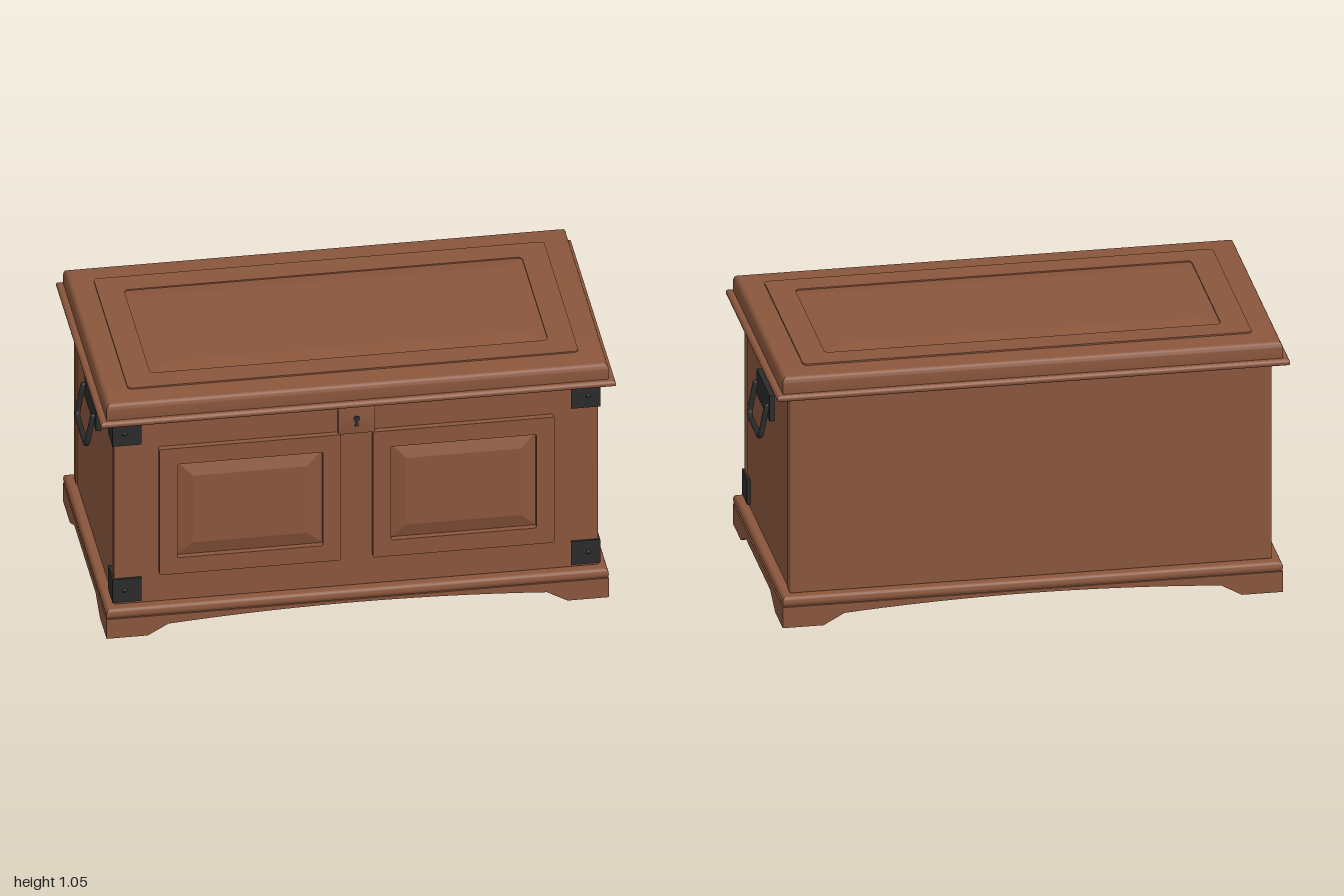
import * as THREE from 'three';
import { toCreasedNormals } from 'three/addons/utils/BufferGeometryUtils.js';
import { RoundedBoxGeometry } from 'three/addons/geometries/RoundedBoxGeometry.js';

const wood = new THREE.MeshStandardMaterial({ color: 0x8a563c });
wood.name = 'wood';
const iron = new THREE.MeshStandardMaterial({ color: 0x2b2b2b });
iron.name = 'blackIron';

function add(parent, name, geometry, material, x = 0, y = 0, z = 0) {
  const mesh = new THREE.Mesh(geometry, material);
  mesh.name = name;
  mesh.position.set(x, y, z);
  parent.add(mesh);
  return mesh;
}

// Rectangle outline with small rounded corners (r = 0 keeps them square)
function rect(w, h, r = 0, Type = THREE.Shape) {
  const s = new Type(), a = w / 2, b = h / 2;
  if (!r) {
    s.moveTo(-a, -b).lineTo(a, -b).lineTo(a, b).lineTo(-a, b).lineTo(-a, -b);
    return s;
  }
  s.moveTo(-a + r, -b);
  s.absarc(a - r, -b + r, r, -Math.PI / 2, 0);
  s.absarc(a - r, b - r, r, 0, Math.PI / 2);
  s.absarc(-a + r, b - r, r, Math.PI / 2, Math.PI);
  s.absarc(-a + r, -b + r, r, Math.PI, Math.PI * 1.5);
  return s;
}

// Slab facing +z with its front at z = 0; its edges are bevelled or rounded inwards
function slab(w, h, thick, inset, rise, segments) {
  const g = new THREE.ExtrudeGeometry(rect(w, h), {
    depth: thick - 2 * rise, bevelEnabled: true, bevelSize: inset,
    bevelOffset: -inset, bevelThickness: rise, bevelSegments: segments,
  });
  g.translate(0, 0, -(thick - rise));
  return toCreasedNormals(g, segments > 1 ? 0.6 : 0.05);
}

// Flat picture-frame ring with its front at z = 0
function frame(w, h, holeW, holeH, thick, r) {
  const s = rect(w, h, r);
  s.holes.push(rect(holeW, holeH, r, THREE.Path));
  const g = new THREE.ExtrudeGeometry(s, { depth: thick, bevelEnabled: false, curveSegments: 4 });
  return g.translate(0, 0, -thick);
}

const lay = (g) => g.rotateX(-Math.PI / 2);

// Skirt board with two feet; the underside between them may arch
function skirt(half, foot, slope, low, high) {
  const s = new THREE.Shape();
  s.moveTo(-half, 0).lineTo(-foot, 0).lineTo(-slope, low);
  s.quadraticCurveTo(0, 2 * high - low, slope, low);
  s.lineTo(foot, 0).lineTo(half, 0).lineTo(half, 0.085).lineTo(-half, 0.085);
  return new THREE.ExtrudeGeometry(s, { depth: 0.03, bevelEnabled: false, curveSegments: 20 });
}

function buildBase(chest) {
  const base = new THREE.Group();
  base.name = 'base';
  chest.add(base);
  add(base, 'baseMoulding', lay(slab(1.95, 1.04, 0.046, 0.018, 0.02, 5)), wood, 0, 0.126, 0);
  for (const turn of [0, Math.PI]) {
    const side = new THREE.Group();
    side.name = 'skirtPair';
    side.rotation.y = turn;
    base.add(side);
    add(side, 'longSkirt', skirt(0.975, 0.815, 0.735, 0.045, 0.072), wood, 0, 0, 0.49);
    const end = skirt(0.49, 0.36, 0.255, 0.05, 0.05).rotateY(Math.PI / 2);
    add(side, 'endSkirt', end, wood, 0.945, 0, 0);
  }
}

function buildBody(chest) {
  const body = new THREE.Group();
  body.name = 'body';
  chest.add(body);
  for (const s of [1, -1]) {
    add(body, s > 0 ? 'frontBoard' : 'backBoard',
      new RoundedBoxGeometry(1.88, 0.826, 0.05, 2, 0.006), wood, 0, 0.537, s * 0.455);
    add(body, 'endBoard', new THREE.BoxGeometry(0.05, 0.826, 0.866), wood, s * 0.91, 0.537, 0);
    // Raised panel in its frame
    add(body, 'frontFrame', frame(0.705, 0.56, 0.565, 0.417, 0.03, 0.008), wood, s * 0.4145, 0.535, 0.505);
    add(body, 'frontPanel', slab(0.565, 0.417, 0.06, 0.06, 0.02, 1), wood, s * 0.4145, 0.537, 0.503);
  }
}

function buildLid(chest) {
  const lid = new THREE.Group();
  lid.name = 'lid';
  chest.add(lid);
  add(lid, 'lidLip', lay(slab(2, 1.08, 0.026, 0.012, 0.012, 4)), wood, 0, 0.973, 0);
  add(lid, 'lidTop', lay(slab(1.95, 1.04, 0.09, 0.022, 0.025, 6)), wood, 0, 1.041, 0);
  add(lid, 'lidFrame', lay(frame(1.75, 0.83, 1.545, 0.63, 0.012, 0.02)), wood, 0, 1.047, 0);
  add(lid, 'lidPanel', lay(slab(1.545, 0.63, 0.03, 0.07, 0.01, 1)), wood, 0, 1.052, 0);
}

function buildLock(chest) {
  const lock = new THREE.Group();
  lock.name = 'lock';
  chest.add(lock);
  add(lock, 'lockPlate', slab(0.144, 0.118, 0.03, 0.004, 0.004, 2), wood, 0, 0.868, 0.496);
  const hole = new THREE.Shape();
  hole.moveTo(0.006, -0.011);
  hole.absarc(0, 0, 0.0125, -1.05, Math.PI + 1.05);
  hole.lineTo(-0.008, -0.033).lineTo(0.008, -0.033);
  add(lock, 'keyhole', new THREE.ExtrudeGeometry(hole, { depth: 0.004, bevelEnabled: false }),
    iron, 0, 0.876, 0.4955);
}

function buildCorners(chest) {
  for (const s of [1, -1]) for (const y of [0.888, 0.19]) {
    const corner = new THREE.Group();
    corner.name = 'cornerBracket';
    corner.position.y = y;
    chest.add(corner);
    add(corner, 'bracketFront', new THREE.BoxGeometry(0.113, 0.104, 0.014), iron, s * 0.8905, 0, 0.482);
    add(corner, 'bracketSide', new THREE.BoxGeometry(0.015, 0.104, 0.112), iron, s * 0.9395, 0, 0.432);
    add(corner, 'bracketPin', new THREE.ConeGeometry(0.009, 0.01, 10).rotateX(Math.PI / 2),
      iron, s * 0.9, 0, 0.494);
  }
}

function buildHandles(chest) {
  const v = (x, y, z) => new THREE.Vector3(x, y, z);
  const top = 0.757, bottom = 0.626, w = 0.118, r = 0.03;
  // Bail hangs outward: x grows as y falls
  const p = (y, z) => v(0.963 + (top - y) * 0.19, y, z);
  const path = new THREE.CurvePath();
  path.add(new THREE.LineCurve3(p(top, w), p(bottom + r, w)));
  path.add(new THREE.QuadraticBezierCurve3(p(bottom + r, w), p(bottom, w), p(bottom, w - r)));
  path.add(new THREE.LineCurve3(p(bottom, w - r), p(bottom, r - w)));
  path.add(new THREE.QuadraticBezierCurve3(p(bottom, r - w), p(bottom, -w), p(bottom + r, -w)));
  path.add(new THREE.LineCurve3(p(bottom + r, -w), p(top, -w)));
  for (const turn of [0, Math.PI]) {
    const handle = new THREE.Group();
    handle.name = 'handle';
    handle.rotation.y = turn;
    chest.add(handle);
    add(handle, 'handlePlate', new THREE.BoxGeometry(0.022, 0.106, 0.272), iron, 0.944, 0.752, 0);
    add(handle, 'handleBail', new THREE.TubeGeometry(path, 80, 0.011, 10), iron);
    for (const z of [w, -w]) {
      add(handle, 'handlePivot', new THREE.SphereGeometry(0.011, 12, 8), iron, 0.963, top, z);
    }
  }
}

export function createModel() {
  const chest = new THREE.Group();
  chest.name = 'chest';
  buildBase(chest);
  buildBody(chest);
  buildLid(chest);
  buildLock(chest);
  buildCorners(chest);
  buildHandles(chest);
  return chest;
}
